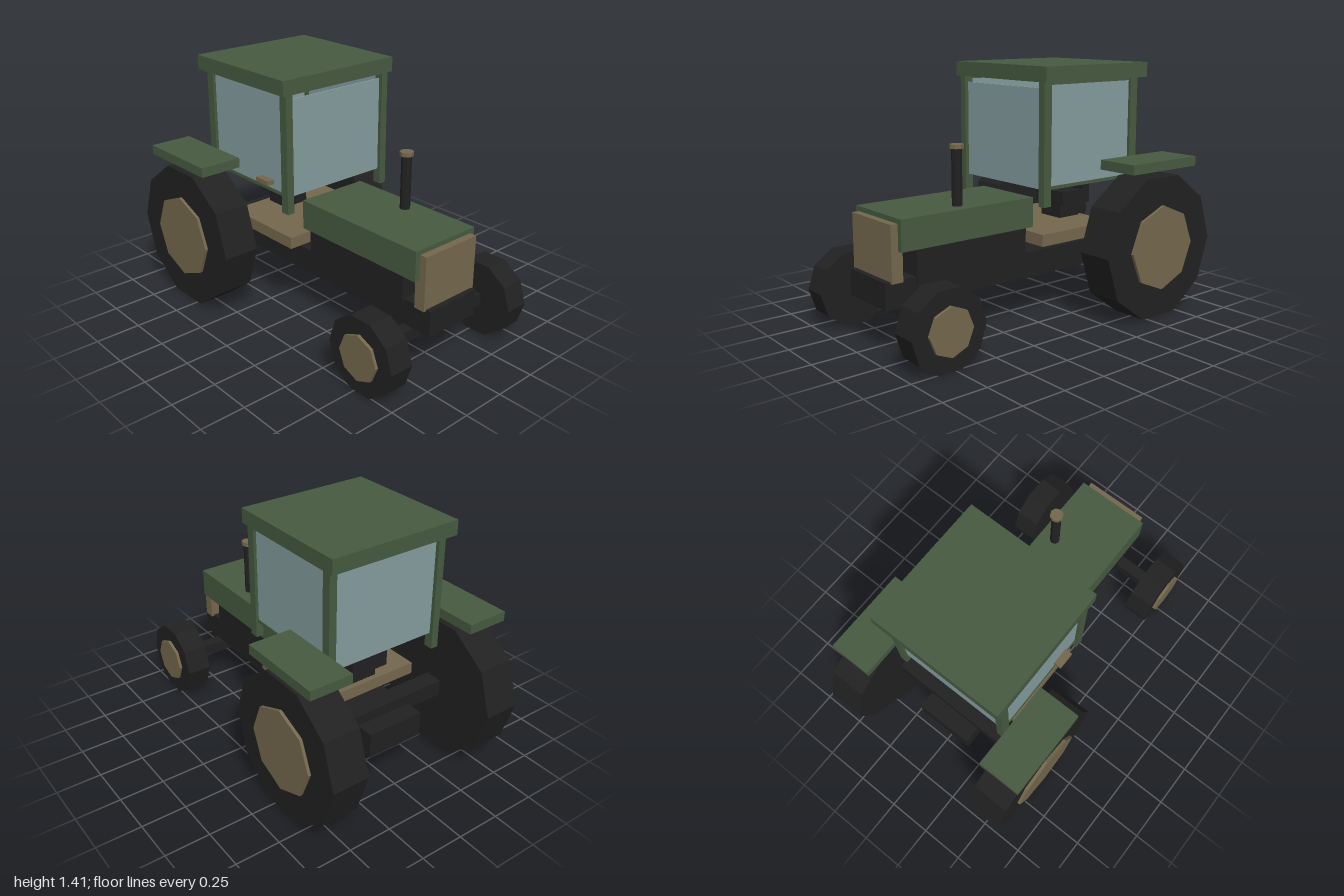
import * as THREE from 'three';

const material = (name, color) => {
  const m = new THREE.MeshStandardMaterial({ color, flatShading: true });
  m.name = name;
  return m;
};

export function createModel() {
  const green = material('green paint', 0x465a40);
  const tan = material('tan metal', 0x74684d);
  const black = material('black rubber', 0x212121);
  const glass = material('window glass', 0x849c9e);

  const model = new THREE.Group();
  model.name = 'tractor';

  const add = (name, geometry, mat) => {
    const mesh = new THREE.Mesh(geometry, mat);
    mesh.name = name;
    model.add(mesh);
    return mesh;
  };
  // Box given by its extents on each axis
  const box = (name, mat, [x0, x1], [y0, y1], [z0, z1]) => {
    const mesh = add(name, new THREE.BoxGeometry(x1 - x0, y1 - y0, z1 - z0), mat);
    mesh.position.set((x0 + x1) / 2, (y0 + y1) / 2, (z0 + z1) / 2);
  };
  // The same box on both sides, x0 < x1 on the left
  const boxPair = (name, mat, [x0, x1], y, z) => {
    box(name + 'Left', mat, [x0, x1], y, z);
    box(name + 'Right', mat, [-x1, -x0], y, z);
  };
  // Cylinder lying along x
  const disc = (name, mat, radius, sides, [x0, x1], y, z) => {
    const mesh = add(name, new THREE.CylinderGeometry(radius, radius, x1 - x0, sides), mat);
    mesh.rotation.z = Math.PI / 2;
    mesh.position.set((x0 + x1) / 2, y, z);
  };
  const wheelPair = (name, radius, hubRadius, inner, outer, hubOuter, y, z) => {
    for (const s of [1, -1]) {
      const span = (a, b) => (s > 0 ? [a, b] : [-b, -a]);
      const side = s > 0 ? 'Left' : 'Right';
      disc(name + 'Tyre' + side, black, radius, 10, span(inner, outer), y, z);
      disc(name + 'Hub' + side, tan, hubRadius, 8, span(outer - 0.02, hubOuter), y, z);
    }
  };

  // Running gear
  box('chassis', black, [-0.17, 0.17], [0.25, 0.393], [-0.735, 0.925]);
  box('frontAxle', black, [-0.42, 0.42], [0.18, 0.245], [0.74, 0.81]);
  box('rearAxle', black, [-0.45, 0.45], [0.36, 0.453], [-0.635, -0.535]);
  wheelPair('front', 0.218, 0.128, 0.37, 0.51, 0.527, 0.213, 0.782);
  wheelPair('rear', 0.415, 0.24, 0.4, 0.61, 0.627, 0.41, -0.585);

  // Engine, hood and grille
  box('engine', black, [-0.18, 0.18], [0.35, 0.547], [0.035, 0.745]);
  box('hood', green, [-0.215, 0.215], [0.545, 0.71], [0.015, 0.855]);
  box('grille', tan, [-0.185, 0.185], [0.385, 0.684], [0.83, 0.895]);

  // Exhaust stack
  add('exhaustPipe', new THREE.CylinderGeometry(0.028, 0.028, 0.32, 8), black)
    .position.set(0.125, 0.86, 0.455);
  add('exhaustCap', new THREE.CylinderGeometry(0.038, 0.038, 0.022, 8), tan)
    .position.set(0.125, 1.02, 0.455);

  // Platform and seat
  box('platform', tan, [-0.32, 0.32], [0.457, 0.523], [-0.49, 0.035]);
  box('seatBase', black, [-0.08, 0.08], [0.52, 0.61], [-0.46, -0.31]);
  box('seatCushion', black, [-0.115, 0.115], [0.6, 0.68], [-0.51, -0.3]);
  box('seatBack', black, [-0.115, 0.115], [0.68, 0.87], [-0.51, -0.45]);

  // Cab frame and roof
  boxPair('frontPillar', green, [0.319, 0.362], [0.682, 1.345], [0.016, 0.067]);
  boxPair('rearPillar', green, [0.319, 0.362], [0.682, 1.345], [-0.63, -0.577]);
  boxPair('sill', green, [0.33, 0.35], [0.77, 0.788], [-0.58, 0.02]);
  boxPair('topRail', green, [0.33, 0.35], [1.322, 1.345], [-0.58, 0.02]);
  box('roof', green, [-0.387, 0.387], [1.338, 1.42], [-0.68, 0.077]);

  // Windows
  box('frontWindow', glass, [-0.32, 0.32], [0.77, 1.304], [0.037, 0.046]);
  box('rearWindow', glass, [-0.32, 0.32], [0.77, 1.304], [-0.609, -0.6]);
  boxPair('sideWindow', glass, [0.336, 0.345], [0.787, 1.323], [-0.58, 0.02]);
  box('doorHandle', tan, [-0.389, -0.343], [0.815, 0.84], [-0.17, -0.07]);

  // Fenders
  boxPair('fender', green, [0.38, 0.626], [0.846, 0.9], [-0.838, -0.333]);

  return model;
}
